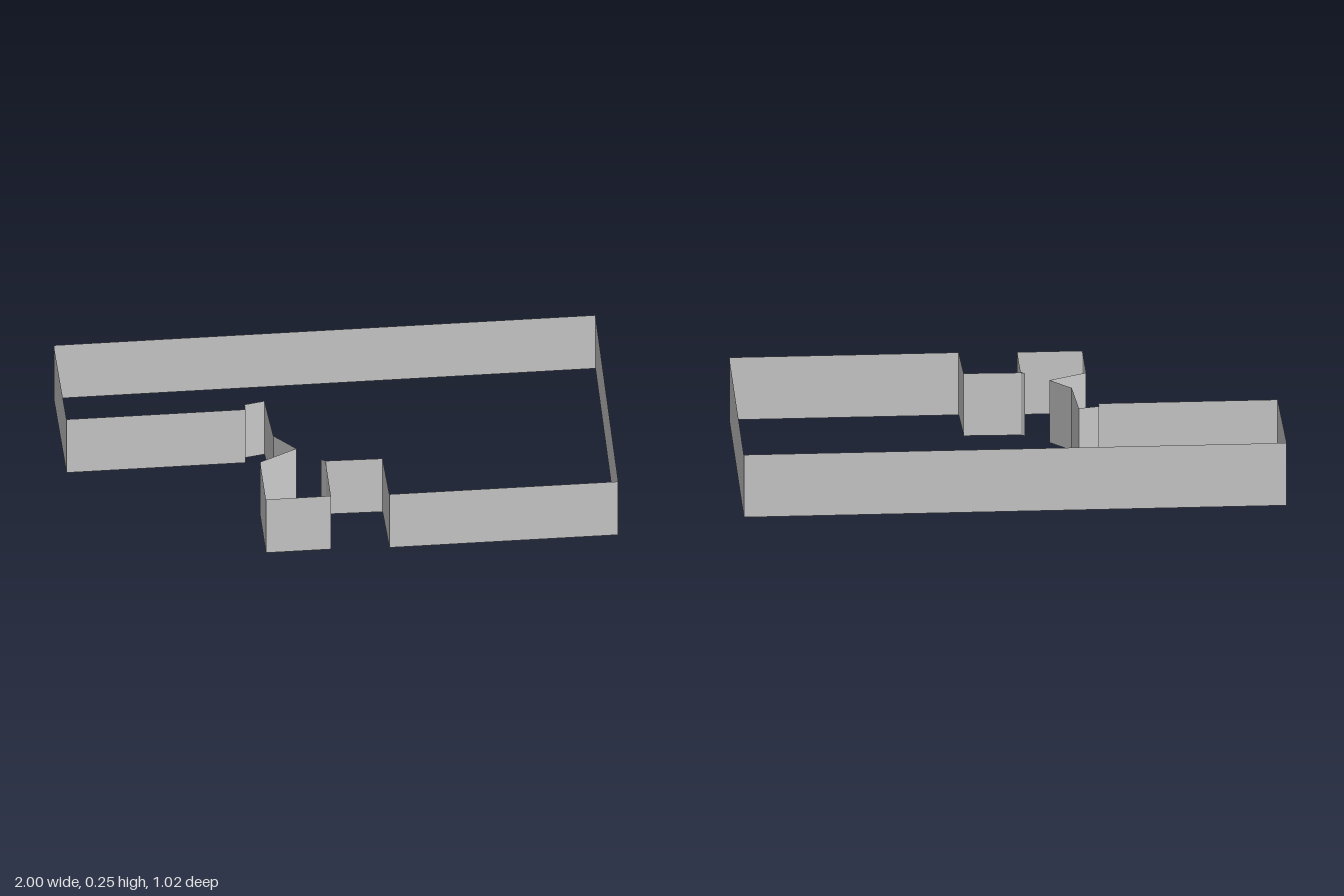
import * as THREE from 'three';

const HEIGHT = 0.245;

// Plan corners [x, z] of the wall outline, run by run
const runs = {
  backWall: [[-1, -0.51], [1, -0.51]],
  rightWall: [[1, -0.51], [0.99, 0.51]],
  frontWall: [[0.99, 0.51], [0.145, 0.51]],
  porchRecess: [[0.145, 0.51], [0.14, 0.29], [-0.07, 0.285], [-0.085, 0.275], [-0.07, 0.295]],
  frontBay: [[-0.07, 0.295], [-0.07, 0.5], [-0.31, 0.5], [-0.31, 0.27], [-0.17, 0.2]],
  angledWall: [[-0.17, 0.2], [-0.247, 0.115], [-0.26, -0.1], [-0.335, -0.085], [-0.335, -0.055]],
  sideFrontWall: [[-0.335, -0.055], [-0.995, -0.055]],
  leftWall: [[-0.995, -0.055], [-1, -0.51]],
};

// Thin upright wall following a run of plan corners
function wallGeometry(points) {
  const positions = [];
  for (let i = 0; i < points.length - 1; i++) {
    const [ax, az] = points[i];
    const [bx, bz] = points[i + 1];
    positions.push(
      ax, 0, az, ax, HEIGHT, az, bx, HEIGHT, bz,
      ax, 0, az, bx, HEIGHT, bz, bx, 0, bz,
    );
  }
  const geometry = new THREE.BufferGeometry();
  geometry.setAttribute('position', new THREE.Float32BufferAttribute(positions, 3));
  geometry.computeVertexNormals();
  return geometry;
}

export function createModel() {
  const group = new THREE.Group();
  group.name = 'wallOutline';
  const material = new THREE.MeshStandardMaterial({
    color: 0xcccccc,
    side: THREE.DoubleSide,
    flatShading: true,
  });
  for (const [name, points] of Object.entries(runs)) {
    const wall = new THREE.Mesh(wallGeometry(points), material);
    wall.name = name;
    group.add(wall);
  }
  return group;
}
